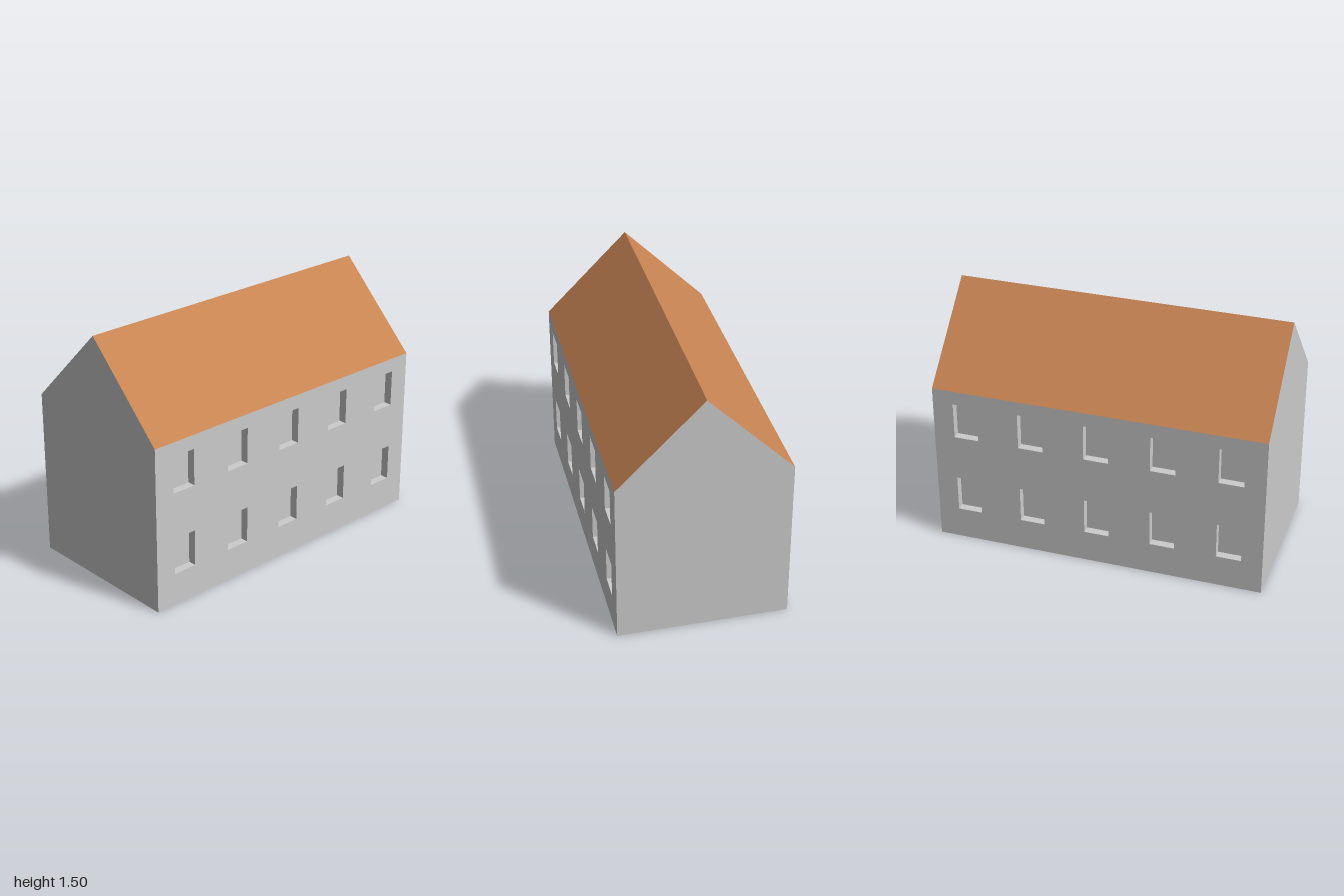
import * as THREE from 'three';
import { mergeGeometries } from 'three/addons/utils/BufferGeometryUtils.js';

const LENGTH = 2, DEPTH = 1, EAVES = 1, RIDGE = 1.5;
const WIN_W = 0.15, WIN_H = 0.22, RECESS = 0.05;

export function createModel() {
  const wall = new THREE.MeshStandardMaterial({ color: 0xcccccc });
  wall.name = 'wall grey';
  const tile = new THREE.MeshStandardMaterial({ color: 0xc88453 });
  tile.name = 'roof orange';

  const house = new THREE.Group();
  house.name = 'house';
  const add = (parent, name, geometry, material) => {
    const mesh = new THREE.Mesh(geometry, material);
    mesh.name = name;
    parent.add(mesh);
    return mesh;
  };

  // Window centres: two storeys of five
  const windows = [];
  for (const y of [0.305, 0.805]) {
    for (let i = -2; i <= 2; i++) windows.push([i * 0.4, y]);
  }

  // Long wall with rectangular openings
  const facade = new THREE.Shape([
    new THREE.Vector2(-LENGTH / 2, 0), new THREE.Vector2(LENGTH / 2, 0),
    new THREE.Vector2(LENGTH / 2, EAVES), new THREE.Vector2(-LENGTH / 2, EAVES),
  ]);
  for (const [x, y] of windows) {
    const w = WIN_W / 2, h = WIN_H / 2;
    facade.holes.push(new THREE.Path([
      new THREE.Vector2(x - w, y - h), new THREE.Vector2(x - w, y + h),
      new THREE.Vector2(x + w, y + h), new THREE.Vector2(x + w, y - h),
    ]));
  }
  const facadeGeometry = new THREE.ShapeGeometry(facade);

  // Window recess: back panel, two jambs, sill and lintel, all facing inwards
  const recessGeometry = mergeGeometries([
    new THREE.PlaneGeometry(WIN_W, WIN_H).translate(0, 0, -RECESS),
    ...[-1, 1].map((s) => new THREE.PlaneGeometry(RECESS, WIN_H)
      .rotateY(-s * Math.PI / 2).translate(s * WIN_W / 2, 0, -RECESS / 2)),
    ...[-1, 1].map((s) => new THREE.PlaneGeometry(WIN_W, RECESS)
      .rotateX(s * Math.PI / 2).translate(0, s * WIN_H / 2, -RECESS / 2)),
  ]);

  // Pointed end wall
  const gableGeometry = new THREE.ShapeGeometry(new THREE.Shape([
    new THREE.Vector2(-DEPTH / 2, 0), new THREE.Vector2(DEPTH / 2, 0),
    new THREE.Vector2(DEPTH / 2, EAVES), new THREE.Vector2(0, RIDGE),
    new THREE.Vector2(-DEPTH / 2, EAVES),
  ]));

  // One roof slope, from eaves to ridge
  const rise = RIDGE - EAVES;
  const slopeGeometry = new THREE.PlaneGeometry(LENGTH, Math.hypot(DEPTH / 2, rise))
    .rotateX(-Math.atan2(DEPTH / 2, rise))
    .translate(0, (EAVES + RIDGE) / 2, DEPTH / 4);

  // Front and back halves are the same, turned half way round
  for (const [side, turn] of [['front', 0], ['back', Math.PI]]) {
    const half = new THREE.Group();
    half.name = side + 'Side';
    half.rotation.y = turn;
    house.add(half);
    add(half, side + 'Wall', facadeGeometry, wall).position.z = DEPTH / 2;
    for (const [x, y] of windows) {
      add(half, 'windowRecess', recessGeometry, wall).position.set(x, y, DEPTH / 2);
    }
    add(half, side + 'RoofSlope', slopeGeometry, tile);
  }

  // End walls
  for (const [name, s] of [['leftGable', 1], ['rightGable', -1]]) {
    const gable = add(house, name, gableGeometry, wall);
    gable.position.x = s * LENGTH / 2;
    gable.rotation.y = s * Math.PI / 2;
  }

  // Underside
  add(house, 'floor', new THREE.PlaneGeometry(LENGTH, DEPTH).rotateX(Math.PI / 2), wall);

  return house;
}
